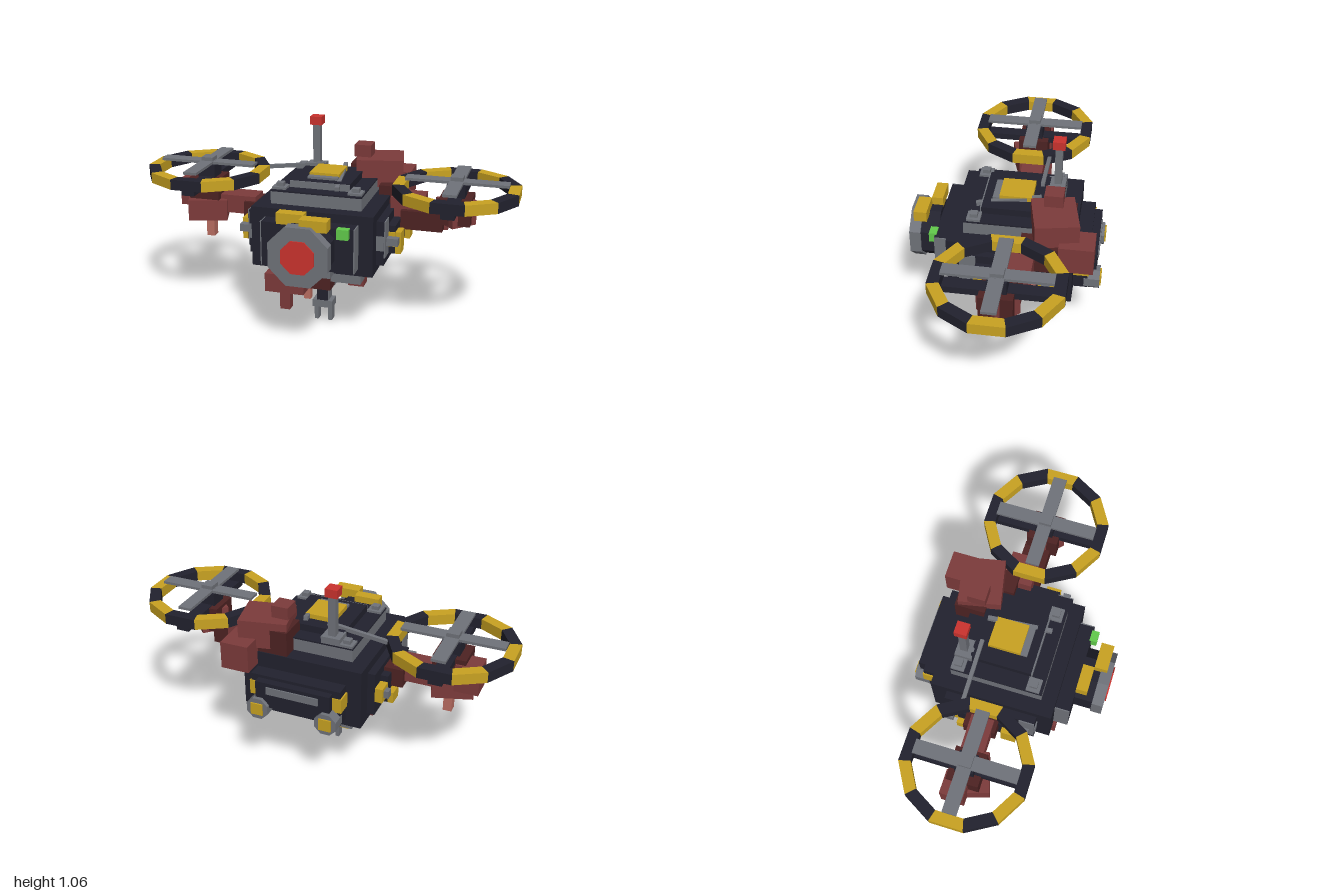
import * as THREE from 'three';

const mat = (name, color) => {
  const m = new THREE.MeshStandardMaterial({ color, flatShading: true });
  m.name = name;
  return m;
};

export function createModel() {
  const dark = mat('dark hull', 0x22222e), grey = mat('grey metal', 0x70737a);
  const yellow = mat('hazard yellow', 0xc9a322), red = mat('signal red', 0xcc332e);
  const green = mat('green lamp', 0x62cc4c), maroon = mat('dark growth', 0x4e2323);
  const flesh = mat('growth', 0x7d3b3b), pale = mat('pale growth', 0xbb6e62);
  const model = new THREE.Group();
  model.name = 'drone';

  const add = (name, geo, m, parent = model) => {
    const mesh = new THREE.Mesh(geo, m);
    mesh.name = name;
    parent.add(mesh);
    return mesh;
  };
  // Box given by its low and high limits on each axis
  const box = (name, m, x0, x1, y0, y1, z0, z1, parent) => {
    const mesh = add(name, new THREE.BoxGeometry(x1 - x0, y1 - y0, z1 - z0), m, parent);
    mesh.position.set((x0 + x1) / 2, (y0 + y1) / 2, (z0 + z1) / 2);
    return mesh;
  };
  // Octagonal prism facing along z, flats on the axes
  const octagon = (name, m, x, y, apothem, z0, z1) => {
    const r = apothem / Math.cos(Math.PI / 8);
    const geo = new THREE.CylinderGeometry(r, r, z1 - z0, 8).rotateY(Math.PI / 8).rotateX(Math.PI / 2);
    add(name, geo, m).position.set(x, y, (z0 + z1) / 2);
  };
  // Square bar between two points
  const rod = (name, m, a, b, w) => {
    const p = new THREE.Vector3(...a), q = new THREE.Vector3(...b);
    const mesh = add(name, new THREE.BoxGeometry(w, w, p.distanceTo(q)), m);
    mesh.position.copy(p).lerp(q, 0.5);
    mesh.lookAt(q);
  };

  // Hull with stepped faces
  box('hull', dark, -0.32, 0.32, 0.37, 0.69, -0.365, 0.275);
  box('frontStep', dark, -0.24, 0.24, 0.41, 0.643, 0.275, 0.353);
  box('chin', grey, -0.12, 0.12, 0.37, 0.41, 0.275, 0.35);
  box('sideStep', dark, -0.36, 0.36, 0.41, 0.645, -0.28, 0.2);
  box('sideBlock', dark, -0.4, 0.4, 0.45, 0.6, -0.2, 0.118);
  box('backStep', dark, -0.24, 0.24, 0.41, 0.606, -0.44, -0.36);
  box('backBlock', dark, -0.2, 0.2, 0.45, 0.59, -0.48, -0.44);
  box('backBar', grey, -0.14, 0.14, 0.53, 0.57, -0.487, -0.48);
  box('roofTier', grey, -0.24, 0.24, 0.69, 0.755, -0.28, 0.2);
  box('roofDeck', dark, -0.24, 0.24, 0.755, 0.763, -0.28, 0.2);
  box('roofBlock', dark, -0.16, 0.16, 0.763, 0.8, -0.2, 0.12);
  box('roofBlockFront', grey, -0.16, 0.16, 0.763, 0.798, 0.12, 0.127);
  box('hatch', yellow, -0.08, 0.08, 0.8, 0.825, -0.13, 0.04);
  box('hatchSill', grey, -0.08, 0.08, 0.8, 0.812, 0.04, 0.075);
  box('bellyTier', grey, -0.24, 0.24, 0.29, 0.37, -0.28, 0.2);
  box('bellyPlate', dark, -0.2, 0.2, 0.283, 0.29, -0.24, 0.16);
  box('bellyBlock', dark, -0.14, 0.14, 0.25, 0.29, -0.2, 0.07);
  box('bellyStripe', yellow, -0.02, 0.1, 0.245, 0.302, 0, 0.072);
  box('bellyStripe', yellow, -0.2, -0.06, 0.245, 0.302, -0.224, -0.15);

  // Side trim, bolts, rear thrusters
  for (const s of [-1, 1]) {
    const side = (name, m, a, b, ...r) => box(name, m, Math.min(s * a, s * b), Math.max(s * a, s * b), ...r);
    side('frontCheek', grey, 0.24, 0.246, 0.41, 0.643, 0.275, 0.353);
    side('sidePanel', grey, 0.36, 0.366, 0.45, 0.645, 0.118, 0.2);
    side('frontPanel', grey, 0.32, 0.36, 0.49, 0.567, 0.2, 0.206);
    side('sideStripe', yellow, 0.4, 0.43, 0.45, 0.567, 0.04, 0.118);
    side('sideStripe', yellow, 0.4, 0.43, 0.45, 0.51, -0.2, -0.12);
    side('sideStripe', yellow, 0.36, 0.4, 0.489, 0.567, -0.28, -0.2);
    side('frontStripe', yellow, 0.36, 0.4, 0.489, 0.567, 0.118, 0.124);
    side('backStripe', yellow, 0.2, 0.248, 0.489, 0.567, -0.445, -0.36);
    for (const z of [0.155, -0.24]) side('sideBolt', grey, 0.36, 0.425, 0.51, 0.55, z - 0.02, z + 0.02);
    octagon('thruster', grey, s * 0.185, 0.442, 0.057, -0.5, -0.42);
    box('thrusterGlow', yellow, s * 0.185 - 0.032, s * 0.185 + 0.032, 0.41, 0.474, -0.508, -0.5);
  }

  // Front sensor drum
  octagon('drum', dark, 0, 0.53, 0.143, 0.353, 0.448);
  octagon('drumRim', grey, 0, 0.53, 0.153, 0.448, 0.507);
  octagon('lens', red, 0, 0.53, 0.085, 0.507, 0.514);
  box('drumMark', yellow, -0.14, 0, 0.66, 0.717, 0.353, 0.412);
  box('drumMark', yellow, 0, 0.14, 0.66, 0.717, 0.412, 0.48);
  box('lamp', green, 0.16, 0.22, 0.597, 0.65, 0.345, 0.385);

  // Roof fittings and antenna
  for (const [x, z] of [[-0.2, -0.245], [-0.2, 0.15], [0.2, 0.15]]) {
    box('roofPad', grey, x - 0.037, x + 0.037, 0.763, 0.775, z - 0.035, z + 0.035);
    box('roofBolt', grey, x - 0.019, x + 0.019, 0.775, 0.795, z - 0.019, z + 0.019);
  }
  box('antennaBase', grey, -0.17, -0.07, 0.763, 0.8, -0.28, -0.19);
  box('mast', grey, -0.139, -0.101, 0.8, 1.015, -0.259, -0.221);
  box('beacon', red, -0.153, -0.088, 1.015, 1.06, -0.272, -0.208);
  rod('looseRod', grey, [-0.38, 0.775, -0.165], [-0.06, 0.815, -0.165], 0.02);
  rod('looseRod', grey, [0.06, 0.82, -0.175], [0.1, 0.78, 0.155], 0.022);

  // Rotors: twelve-sided striped guard, crossed blades, beam and motor
  for (const s of [-1, 1]) {
    const rotor = new THREE.Group();
    rotor.name = s > 0 ? 'leftRotor' : 'rightRotor';
    rotor.position.set(s * 0.68, 0, -0.048);
    model.add(rotor);
    const t = Math.tan(Math.PI / 12), ro = 0.32, ri = 0.262;
    const seg = new THREE.Shape([[ri, -ri * t], [ro, -ro * t], [ro, ro * t], [ri, ri * t]]
      .map(p => new THREE.Vector2(...p)));
    const segGeo = new THREE.ExtrudeGeometry(seg, { depth: 0.056, bevelEnabled: false })
      .rotateX(-Math.PI / 2).translate(0, 0.737, 0);
    for (let i = 0; i < 12; i++)
      add('guardSegment', segGeo, i % 2 ? dark : yellow, rotor).rotation.y = i * Math.PI / 6;
    box('beam', dark, -0.035, 0.035, 0.705, 0.74, -0.3, 0.3, rotor);
    box('motor', dark, -0.048, 0.048, 0.72, 0.805, -0.048, 0.048, rotor);
    box('blade', grey, -0.265, 0.265, 0.807, 0.821, -0.036, 0.036, rotor);
    box('blade', grey, -0.036, 0.036, 0.808, 0.822, -0.265, 0.265, rotor);
    box('rotorCap', grey, -0.032, 0.032, 0.82, 0.842, -0.032, 0.032, rotor);
  }

  // Gripper
  box('gripperPlate', grey, -0.08, 0.08, 0.235, 0.25, -0.05, 0.125);
  box('gripperStem', grey, -0.032, 0.032, 0.115, 0.25, 0.004, 0.07);
  box('gripperStemFront', dark, -0.03, 0.03, 0.12, 0.25, 0.07, 0.075);
  box('gripperPalm', grey, -0.055, 0.055, 0.08, 0.12, -0.001, 0.078);
  for (const x of [-0.038, 0.038]) box('gripperFinger', grey, x - 0.011, x + 0.011, 0, 0.08, 0.014, 0.06);

  // Growth over the rear corner
  box('growthHump', flesh, 0.105, 0.355, 0.715, 0.86, -0.37, -0.15).rotation.y = 0.2;
  box('growthKnob', flesh, 0.1, 0.19, 0.86, 0.925, -0.295, -0.2);
  box('growthCorner', flesh, 0.24, 0.39, 0.62, 0.765, -0.47, -0.295);
  box('growthRoot', maroon, 0.08, 0.24, 0.69, 0.82, -0.36, -0.2);
  box('growthShoulder', maroon, 0.26, 0.38, 0.6, 0.74, -0.32, -0.1);

  // Growth arm on the left
  box('leftArm', flesh, 0.34, 0.51, 0.59, 0.705, -0.18, -0.03);
  box('leftArmLower', maroon, 0.4, 0.62, 0.545, 0.645, -0.14, 0.0);
  box('leftArmNub', pale, 0.44, 0.5, 0.57, 0.64, -0.2, -0.14);
  box('leftPod', flesh, 0.605, 0.755, 0.59, 0.72, -0.123, 0.027).rotation.y = Math.PI / 4;
  box('leftPodCore', maroon, 0.6, 0.765, 0.6, 0.737, -0.13, 0.035);
  box('leftPodTip', flesh, 0.6, 0.64, 0.54, 0.6, -0.09, -0.06);

  // Growth arm on the right
  box('rightArm', flesh, -0.62, -0.4, 0.545, 0.645, -0.12, 0.0);
  box('rightArmRoot', maroon, -0.46, -0.36, 0.52, 0.62, -0.15, 0.02);
  box('rightPod', flesh, -0.79, -0.58, 0.505, 0.62, -0.13, 0.06).rotation.y = 0.3;
  box('rightPodCore', maroon, -0.77, -0.6, 0.6, 0.735, -0.13, 0.035);
  box('rightPodOuter', flesh, -0.845, -0.72, 0.56, 0.71, -0.14, -0.02);
  box('rightPodTip', pale, -0.7, -0.655, 0.39, 0.52, -0.07, -0.02);

  // Growth hanging under the nose
  box('bellyGrowth', flesh, -0.25, -0.04, 0.235, 0.335, 0.13, 0.29);
  box('bellyGrowthRoot', maroon, -0.24, 0.08, 0.24, 0.345, 0.07, 0.205);
  box('bellyGrowthTop', flesh, -0.24, -0.1, 0.3, 0.38, 0.16, 0.24);
  box('bellyDrip', flesh, -0.2, -0.145, 0.1, 0.24, 0.143, 0.197);
  box('bellyDripSmall', pale, -0.087, -0.05, 0.145, 0.24, 0.095, 0.132);
  box('bellyNub', flesh, 0.155, 0.24, 0.25, 0.3, 0.05, 0.13);
  return model;
}
